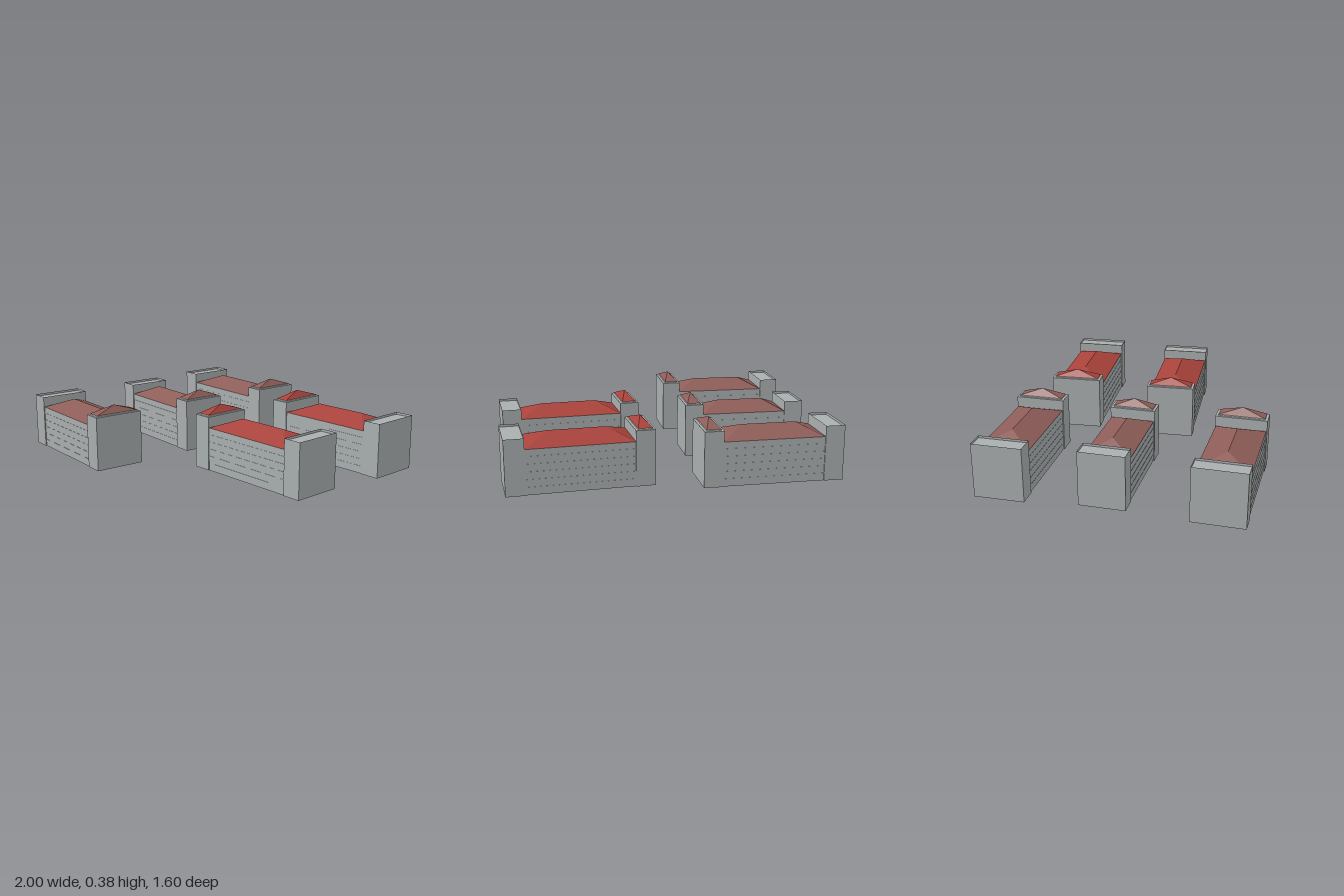
import * as THREE from 'three';

const material = (name, color) => {
  const m = new THREE.MeshStandardMaterial({ color, flatShading: true, side: THREE.DoubleSide });
  m.name = name;
  return m;
};

// Box shell standing on y, keeping only the listed faces (0 +x, 1 -x, 2 top, 3 bottom, 4 +z, 5 -z)
function shell(l, h, w, y, faces) {
  const g = new THREE.BoxGeometry(l, h, w).translate(0, y + h / 2, 0);
  const all = Array.from(g.index.array);
  g.setIndex(faces.flatMap(f => all.slice(f * 6, f * 6 + 6)));
  g.clearGroups();
  return g;
}

// Hipped roof; a ridge of zero gives a pyramid
function hip(l, w, y, h, ridge) {
  const a = l / 2, b = w / 2, r = ridge / 2;
  const g = new THREE.BufferGeometry();
  g.setAttribute('position', new THREE.Float32BufferAttribute([
    -a, y, b, a, y, b, a, y, -b, -a, y, -b, -r, y + h, 0, r, y + h, 0], 3));
  g.setIndex([0, 1, 5, 0, 5, 4, 1, 2, 5, 2, 3, 4, 2, 4, 5, 3, 0, 4]);
  const flat = g.toNonIndexed();
  flat.computeVertexNormals();
  return flat;
}

export function createModel() {
  const model = new THREE.Group();
  model.name = 'buildingBlocks';
  const wall = material('wallGrey', 0xa9aeae);
  const trim = material('paleTrim', 0xd3d7d7);
  const red = material('redRoof', 0xa8423b);
  const brown = material('brownRoof', 0x8e5d58);

  const SIDES = [0, 1, 4, 5];
  const towerTop = 0.326, eave = 0.262, ridgeTop = 0.32;

  // centre x, centre z, length, width, turn, side of the roofed tower, roof material
  const buildings = [
    [-0.51, -0.63, 0.82, 0.296, -0.06, 1, brown],
    [-0.54, -0.04, 0.75, 0.272, -0.08, 1, brown],
    [-0.59, 0.608, 0.803, 0.307, -0.085, 1, brown],
    [0.578, -0.478, 0.844, 0.312, 0, -1, red],
    [0.533, 0.148, 0.842, 0.297, 0, -1, red],
  ];

  for (const [x, z, length, width, turn, side, roof] of buildings) {
    const b = new THREE.Group();
    b.name = 'building';
    b.position.set(x, 0, z);
    b.rotation.y = turn;
    model.add(b);
    const add = (name, geometry, mat, px = 0) => {
      const m = new THREE.Mesh(geometry, mat);
      m.name = name;
      m.position.x = px;
      b.add(m);
    };

    const tower = 0.113;
    const body = length - 2 * tower;
    const bodyWidth = width - 0.012;
    const offset = (length - tower) / 2;

    // Main block with thin storey ledges and a hipped roof
    add('mainWalls', shell(body, eave, bodyWidth, 0, [4, 5]), wall);
    for (let i = 1; i <= 5; i++)
      add('storeyLedge', shell(body, 0.002, bodyWidth + 0.003, i * 0.044, [2, 3, 4, 5]), wall);
    add('mainRoof', hip(body, bodyWidth + 0.004, eave, ridgeTop - eave, body * 0.54), roof);

    // Tower with a small pyramid roof on a pale base
    add('roofedTower', shell(tower, towerTop, width, 0, [...SIDES, 2]), wall, side * offset);
    add('towerRoofBase', shell(tower - 0.03, 0.007, width - 0.03, towerTop, [...SIDES, 2]), trim, side * offset);
    add('towerRoof', hip(tower - 0.03, width - 0.03, towerTop + 0.007, 0.043, 0), roof, side * offset);

    // Flat tower whose walls rise a little above its deck
    add('flatTower', shell(tower, towerTop, width, 0, SIDES), wall, -side * offset);
    add('flatTowerDeck', shell(tower, 0.01, width, 0.302, [2]), wall, -side * offset);
  }
  return model;
}
